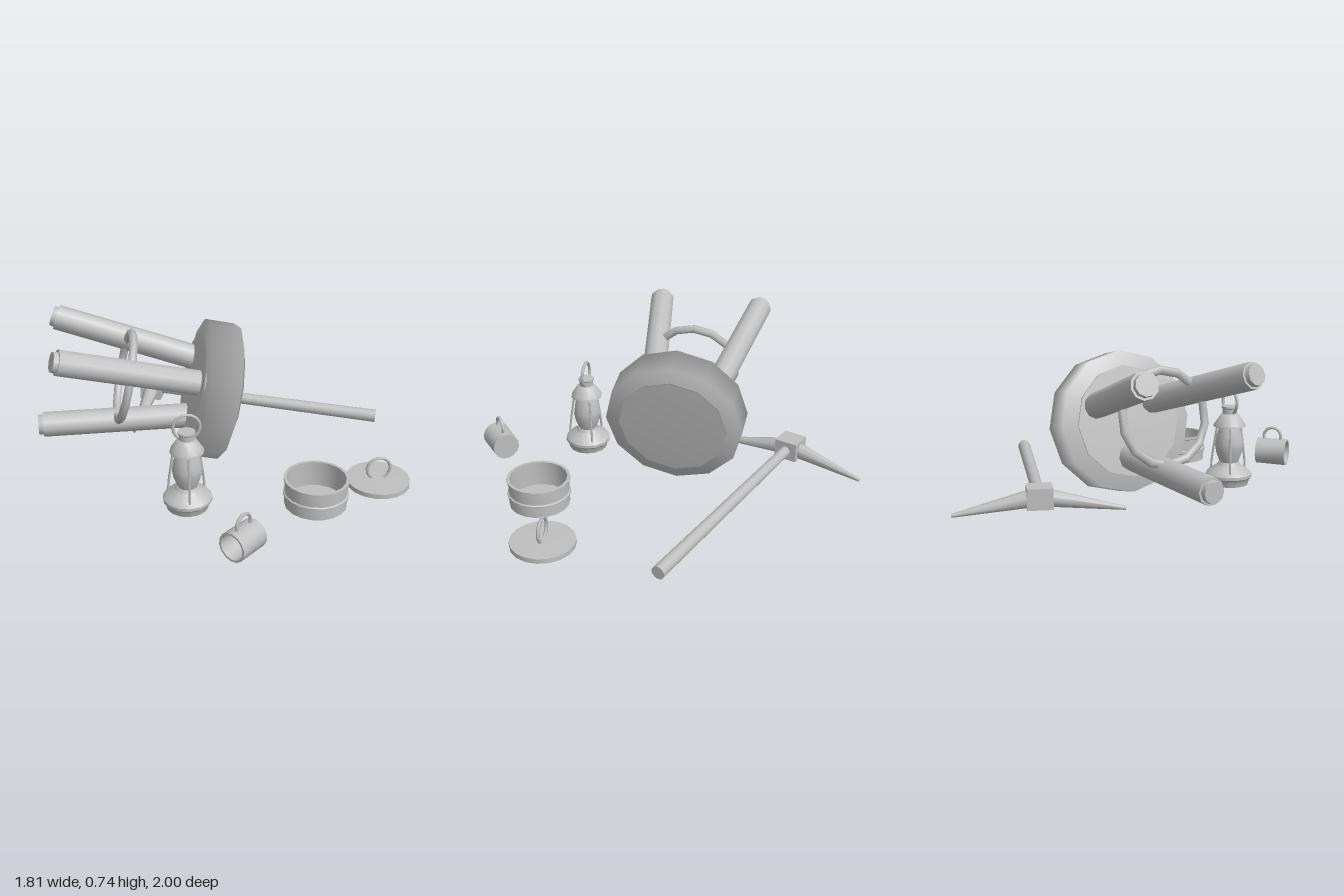
import * as THREE from 'three';
import { toCreasedNormals } from 'three/addons/utils/BufferGeometryUtils.js';

const grey = new THREE.MeshStandardMaterial({ color: 0xbfbfbf });
grey.name = 'plain grey';

const v = (x, y, z) => new THREE.Vector3(x, y, z);
const UP = v(0, 1, 0);

function add(parent, name, geometry) {
  const mesh = new THREE.Mesh(geometry, grey);
  mesh.name = name;
  parent.add(mesh);
  return mesh;
}

function group(parent, name, x = 0, y = 0, z = 0) {
  const g = new THREE.Group();
  g.name = name;
  g.position.set(x, y, z);
  parent.add(g);
  return g;
}

// Turned shape from [radius, height] pairs, listed outside first from the bottom up
function turned(points, sides, crease = 0.6) {
  const geo = new THREE.LatheGeometry(points.map(p => new THREE.Vector2(...p)), sides);
  return crease ? toCreasedNormals(geo, crease) : geo;
}

// Round bar from a to b
function bar(parent, name, a, b, ra, rb, sides) {
  const mesh = add(parent, name, new THREE.CylinderGeometry(rb, ra, a.distanceTo(b), sides));
  mesh.position.copy(a).add(b).multiplyScalar(0.5);
  mesh.quaternion.setFromUnitVectors(UP, b.clone().sub(a).normalize());
  return mesh;
}

// Toppled three-legged stool
function buildStool(root) {
  const stool = group(root, 'stool');
  const axis = v(0.975, -0.22, 0).normalize();
  const frame = group(stool, 'seatAndBrace', -0.027, 0.347, -0.067);
  frame.quaternion.setFromUnitVectors(UP, axis);
  const disc = (r, a, b) => [[0, a], [r, a], [r, b], [0, b]];
  add(frame, 'seat', turned(disc(0.35, -0.077, 0.077), 12, 0));
  for (const s of [-1, 1]) {
    add(frame, s > 0 ? 'seatTopPanel' : 'seatUnderPanel',
      turned(disc(0.275, s * 0.096 - 0.005, s * 0.096 + 0.005), 12, 0));
  }
  // Ring brace running through the legs
  const brace = add(frame, 'braceRing', new THREE.TorusGeometry(0.22, 0.022, 6, 14));
  brace.rotation.x = Math.PI / 2;
  brace.position.y = -0.445;

  const legs = [
    [v(-0.1, 0.196, -0.08), v(-0.882, 0.196, -0.08)],
    [v(-0.07, 0.445, -0.23), v(-0.785, 0.665, -0.355)],
    [v(-0.07, 0.445, 0.07), v(-0.785, 0.665, 0.195)],
  ];
  for (const [a, b] of legs) {
    bar(stool, 'stoolLeg', a, b, 0.064, 0.064, 10);
    const dir = b.clone().sub(a).normalize();
    bar(stool, 'legFoot', b, b.clone().addScaledVector(dir, 0.024), 0.053, 0.05, 10);
  }
}

// Lantern
function buildLantern(root) {
  const lantern = group(root, 'lantern', -0.21, 0, 0.468);
  add(lantern, 'lanternBase', turned([[0, 0.005], [0.1, 0.005], [0.108, 0.035], [0.118, 0.045],
    [0.118, 0.06], [0.1, 0.08], [0.06, 0.105], [0.052, 0.12], [0, 0.12]], 14));
  add(lantern, 'lanternGlass', turned([[0.046, 0.115], [0.066, 0.17], [0.072, 0.21],
    [0.064, 0.26], [0.048, 0.31]], 12));
  add(lantern, 'lanternCap', turned([[0, 0.3], [0.082, 0.305], [0.08, 0.315], [0.046, 0.365],
    [0.037, 0.37], [0.037, 0.395], [0.042, 0.4], [0.042, 0.408], [0, 0.408]], 12));
  for (const deg of [90, 210, 330]) {
    const c = Math.cos(deg * Math.PI / 180), s = Math.sin(deg * Math.PI / 180);
    const path = new THREE.CatmullRomCurve3([[0.1, 0.06], [0.098, 0.11], [0.085, 0.2], [0.066, 0.315]]
      .map(([r, y]) => v(c * r, y, s * r)));
    add(lantern, 'guardWire', new THREE.TubeGeometry(path, 8, 0.006, 5));
  }
  add(lantern, 'lanternHandle', new THREE.TorusGeometry(0.063, 0.008, 6, 16)).position.y = 0.43;
}

// Mug lying on its side, mouth towards the front right
function buildMug(root) {
  const mug = group(root, 'mug', -0.01, 0.083, 0.89);
  const cup = add(mug, 'mugCup', turned([[0, -0.08], [0.07, -0.08], [0.072, 0.08],
    [0.062, 0.08], [0.06, -0.068], [0, -0.068]], 14));
  const dir = v(-0.755, 0, 0.656).normalize();
  cup.quaternion.setFromUnitVectors(UP, dir);
  const handle = add(mug, 'mugHandle', new THREE.TorusGeometry(0.047, 0.008, 6, 14));
  handle.position.y = 0.085;
  handle.rotation.y = Math.atan2(-dir.z, dir.x);
}

// Cooking pot and its lid
function buildPot(root) {
  const pot = group(root, 'pot', 0.397, 0.005, 0.528);
  add(pot, 'potBody', turned([[0, 0], [0.15, 0], [0.15, 0.048], [0.157, 0.052], [0.157, 0.066],
    [0.15, 0.07], [0.15, 0.128], [0.157, 0.132], [0.157, 0.142], [0.142, 0.142],
    [0.142, 0.012], [0, 0.012]], 18));
  const lid = group(root, 'potLid', 0.742, 0, 0.388);
  add(lid, 'lidPlate', turned([[0, 0.007], [0.157, 0.007], [0.157, 0.031], [0, 0.036]], 18));
  add(lid, 'lidHandle', new THREE.TorusGeometry(0.058, 0.008, 6, 16)).position.y = 0.086;
}

// Pickaxe
function buildPickaxe(root) {
  const pick = group(root, 'pickaxe');
  const head = v(-0.286, 0.1, -0.622);
  bar(pick, 'pickHandle', head, v(0.89, 0.052, -0.2), 0.028, 0.034, 10);
  const block = add(pick, 'pickBlock', new THREE.BoxGeometry(0.115, 0.1, 0.12));
  block.position.copy(head);
  block.rotation.y = -0.345;
  for (const s of [-1, 1]) {
    const tip = v(head.x + s * 0.134, 0.027, head.z - s * 0.376);
    bar(pick, 'pickSpike', head, tip, 0.046, 0.009, 8);
  }
}

export function createModel() {
  const root = new THREE.Group();
  root.name = 'campGear';
  buildStool(root);
  buildLantern(root);
  buildMug(root);
  buildPot(root);
  buildPickaxe(root);
  return root;
}
